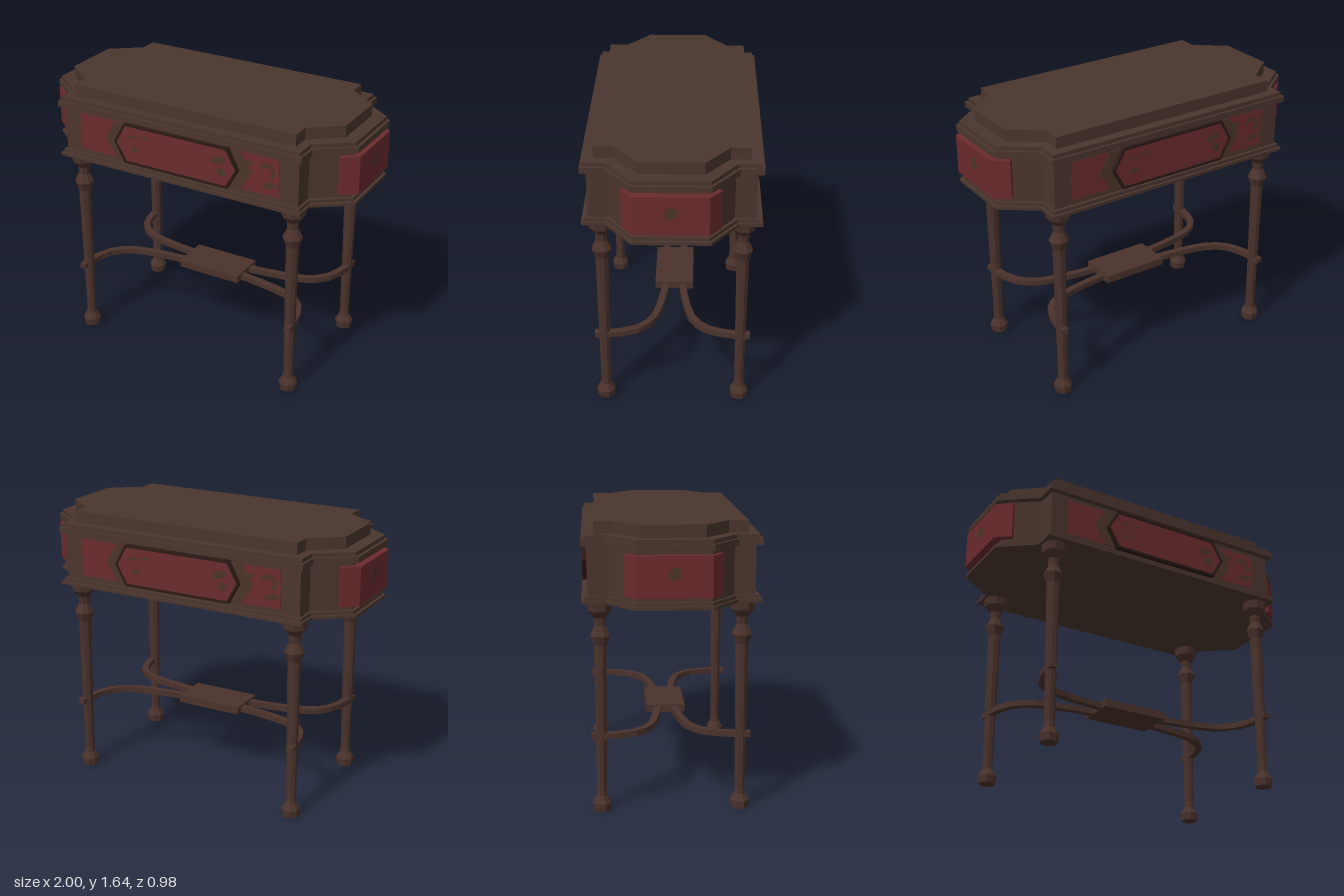
import * as THREE from 'three';

const mat = (name, color) => {
  const m = new THREE.MeshStandardMaterial({ color });
  m.name = name;
  return m;
};

export function createModel() {
  const wood = mat('brown wood', 0x4a352d);
  const legWood = mat('reddish wood', 0x4a322b);
  const red = mat('red inlay', 0x6b2a2d);
  const motif = mat('inlay motif', 0x4b3429);
  const dark = mat('dark frame', 0x2b1a16);

  const table = new THREE.Group();
  table.name = 'consoleTable';
  const add = (parent, name, geo, m) => {
    const mesh = new THREE.Mesh(geo, m);
    mesh.name = name;
    parent.add(mesh);
    return mesh;
  };
  const shapeOf = (pts) => new THREE.Shape(pts.map(([x, y]) => new THREE.Vector2(x, y)));

  // Upright prism over a floor plan given as [x, z] points
  const prism = (plan, y0, y1) =>
    new THREE.ExtrudeGeometry(shapeOf(plan.map(([x, z]) => [x, -z])), { depth: y1 - y0, bevelEnabled: false })
      .rotateX(-Math.PI / 2).translate(0, y0, 0);

  // Thin plate facing +z, starting at depth z
  const plate = (shape, z, depth) =>
    new THREE.ExtrudeGeometry(shape, { depth, bevelEnabled: false, curveSegments: 6 }).translate(0, 0, z);

  // Notched, chamfered plan: end (xe, ze), notch (xn, zn), front edge zf
  const plan = (xe, ze, xn, zn, zf) => {
    const q = [[xe, ze], [xn, zn], [xn, zf]];
    const half = [...q, ...q.map(([x, z]) => [-x, z]).reverse()];
    return [...half, ...half.map(([x, z]) => [-x, -z])];
  };

  // Stacked tiers of the case, from the bottom lip to the top slab
  const tiers = [
    ['bottomLip', 1.2, 1.218, [0.99, 0.21, 0.79, 0.36, 0.49]],
    ['bottomMoulding', 1.218, 1.238, [0.972, 0.205, 0.778, 0.35, 0.475]],
    ['caseBody', 1.238, 1.512, [0.953, 0.2, 0.763, 0.338, 0.456]],
    ['topMoulding', 1.512, 1.547, [0.99, 0.21, 0.79, 0.36, 0.49]],
    ['topStep', 1.547, 1.57, [0.972, 0.205, 0.775, 0.35, 0.475]],
    ['topSlab', 1.57, 1.638, [0.895, 0.175, 0.72, 0.31, 0.418]],
  ];
  for (const [name, y0, y1, dims] of tiers) add(table, name, prism(plan(...dims), y0, y1), wood);

  // Painted panels, the same on both faces by a half turn
  const cy = 1.377;
  const hex = (tip, shoulder, h) => [
    [tip, cy], [shoulder, cy + h], [-shoulder, cy + h], [-tip, cy], [-shoulder, cy - h], [shoulder, cy - h],
  ];
  const blob = (x, y, rx, ry, turn = 0) =>
    new THREE.Shape().absellipse(x, y, rx, ry, 0, Math.PI * 2, false, turn);

  for (const side of [0, 1]) {
    const face = new THREE.Group();
    face.name = side ? 'backDecoration' : 'frontDecoration';
    face.rotation.y = side * Math.PI;
    table.add(face);

    add(face, 'longInlay', plate(shapeOf([[-0.655, 1.265], [0.645, 1.265], [0.645, 1.488], [-0.655, 1.488]]), 0.454, 0.005), red);
    add(face, 'chevron', plate(shapeOf(hex(0.48, 0.41, 0.111)), 0.456, 0.006), motif);

    const frame = shapeOf(hex(0.405, 0.337, 0.123));
    frame.holes.push(new THREE.Path(hex(0.39, 0.328, 0.109).map(([x, y]) => new THREE.Vector2(x, y))));
    add(face, 'hexagonFrame', plate(frame, 0.455, 0.031), dark);
    add(face, 'hexagonPanel', plate(shapeOf(hex(0.394, 0.33, 0.112)), 0.455, 0.026), red);

    const blots = [
      [-0.28, 1.425, 0.035, 0.008, 0.1], [-0.2, 1.435, 0.03, 0.007, 0.1],
      [-0.265, 1.352, 0.025, 0.014, 0.5], [0.28, 1.412, 0.05, 0.022, 0.25], [0.3, 1.345, 0.025, 0.028, 0.8],
    ];
    for (const b of blots) add(face, 'hexagonMotif', plate(blob(...b), 0.48, 0.003), motif);

    // Curled leaf beside the hexagon
    const curl = new THREE.RingGeometry(0.026, 0.05, 10, 1, -0.9, 3.8).translate(0.575, 1.405, 0.461);
    add(face, 'curledLeaf', curl, motif);
    add(face, 'leafBase', plate(blob(0.59, 1.325, 0.045, 0.018, 0.2), 0.458, 0.003), motif);
    add(face, 'leafBud', plate(blob(0.46, 1.43, 0.03, 0.015, 0.5), 0.458, 0.003), motif);

    // Raised inlay wrapped around the end
    const wrap = [[1, -0.2], [1, 0.2], [0.917, 0.265], [0.85, 0.2], [0.85, -0.2], [0.917, -0.265]];
    add(face, 'endInlay', prism(wrap, 1.265, 1.49), red);
    const endBlot = plate(blob(0, 1.395, 0.035, 0.035), 0, 0.002).rotateY(Math.PI / 2).translate(0.999, 0, 0);
    add(face, 'endMotif', endBlot, motif);
  }

  // Turned faceted legs
  const profile = [
    [0, 0], [0.05, 0], [0.056, 0.045], [0.032, 0.085], [0.029, 0.12], [0.038, 0.955], [0.058, 1.01],
    [0.032, 1.065], [0.035, 1.11], [0.068, 1.15], [0.074, 1.2], [0, 1.2],
  ].map(([r, y]) => new THREE.Vector2(r, y));
  const legGeo = new THREE.LatheGeometry(profile, 8, Math.PI / 8).toNonIndexed();
  legGeo.computeVertexNormals();

  // Curved stretcher bars running from each leg to the centre block
  const curve = new THREE.CatmullRomCurve3(
    [[0.715, 0.445], [0.705, 0.32], [0.655, 0.19], [0.56, 0.115], [0.4, 0.075], [0.15, 0.045]]
      .map(([x, z]) => new THREE.Vector3(x, 0, z)));
  const inner = [], outer = [];
  const N = 8;
  for (let i = 0; i <= N; i++) {
    const p = curve.getPoint(i / N), t = curve.getTangent(i / N);
    inner.push([p.x - t.z * 0.02, p.z + t.x * 0.02]);
    outer.push([p.x + t.z * 0.02, p.z - t.x * 0.02]);
  }
  const band = [...inner, ...outer.reverse()];

  for (const sx of [-1, 1]) for (const sz of [-1, 1]) {
    add(table, 'leg', legGeo, legWood).position.set(sx * 0.705, 0, sz * 0.39);
    add(table, 'stretcher', prism(band.map(([x, z]) => [x * sx, z * sz]), 0.42, 0.453), legWood);
  }
  add(table, 'stretcherBlock', new THREE.BoxGeometry(0.41, 0.046, 0.23), legWood).position.y = 0.441;

  return table;
}
